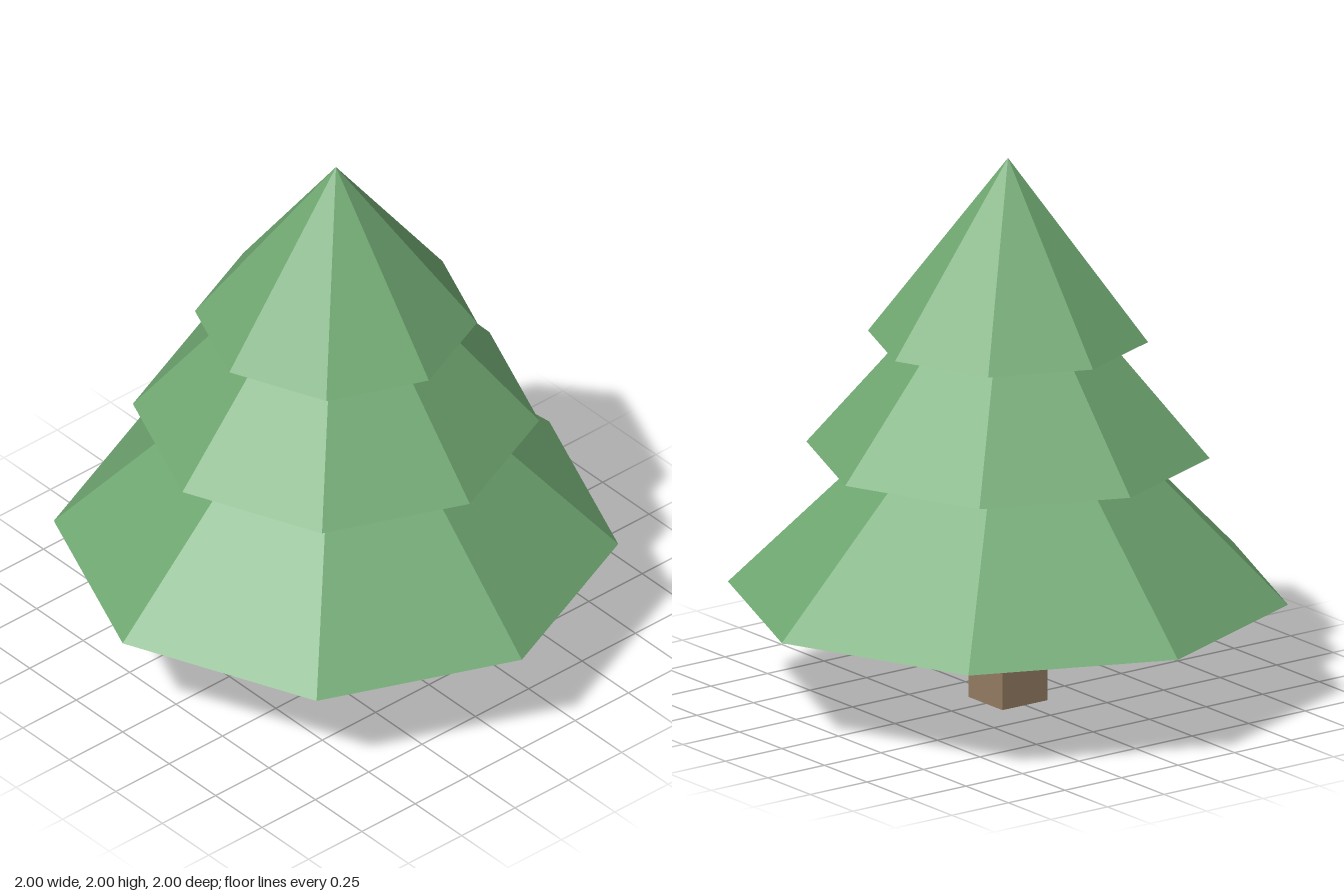
import * as THREE from 'three';

export function createModel() {
  const tree = new THREE.Group();
  tree.name = 'pineTree';

  const green = new THREE.MeshStandardMaterial({ color: 0x70a872, flatShading: true });
  const brown = new THREE.MeshStandardMaterial({ color: 0x937b62, flatShading: true });

  // Square trunk
  const trunkHeight = 0.39;
  const trunk = new THREE.Mesh(new THREE.BoxGeometry(0.2, trunkHeight, 0.2), brown);
  trunk.name = 'trunk';
  trunk.position.y = trunkHeight / 2;
  tree.add(trunk);

  // Three overlapping eight-sided cones of foliage
  const tiers = [
    { name: 'lowerFoliage', radius: 1, base: 0.39, height: 1.0 },
    { name: 'middleFoliage', radius: 0.72, base: 0.92, height: 0.84 },
    { name: 'topFoliage', radius: 0.5, base: 1.34, height: 0.66 },
  ];
  for (const { name, radius, base, height } of tiers) {
    const cone = new THREE.Mesh(new THREE.ConeGeometry(radius, height, 8), green);
    cone.name = name;
    cone.position.y = base + height / 2;
    tree.add(cone);
  }

  return tree;
}
